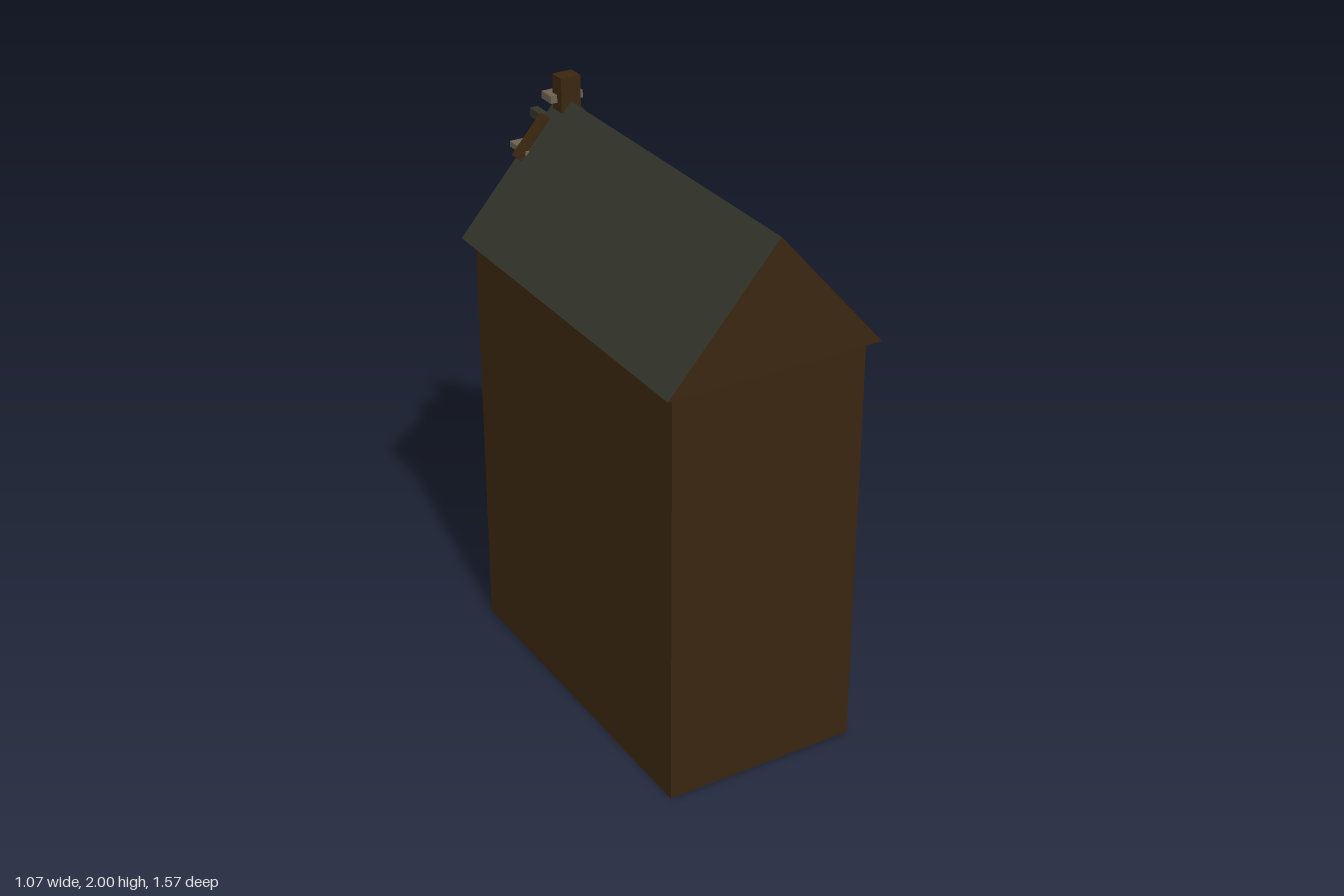
import * as THREE from 'three';

const mat = (name, color) => {
  const m = new THREE.MeshStandardMaterial({ color, flatShading: true });
  m.name = name;
  return m;
};

export function createModel() {
  const brick = mat('brown brick', 0x3a2610);
  const slate = mat('green slate', 0x32342a);
  const stone = mat('tan stone', 0x6b6150);
  const iron = mat('dark iron', 0x15110c);

  const root = new THREE.Group();
  root.name = 'house';
  const house = new THREE.Group();
  house.name = 'turnedHouse';
  house.position.set(0, 0, 0.043);
  house.rotation.y = THREE.MathUtils.degToRad(14.5);
  root.add(house);

  // Box given by its centre x, its y range and its z range
  const box = (name, material, x, w, y0, y1, z0, z1, parent = house) => {
    const mesh = new THREE.Mesh(new THREE.BoxGeometry(w, y1 - y0, z1 - z0), material);
    mesh.name = name;
    mesh.position.set(x, (y0 + y1) / 2, (z0 + z1) / 2);
    parent.add(mesh);
    return mesh;
  };

  const WALL = -0.631;   // street facade plane
  const GABLE = -0.665;  // gable plane above the eaves
  const EAVE = 1.48, RIDGE = 1.915, HALF = 0.38;

  box('walls', brick, 0, 0.69, 0, EAVE, WALL, 0.631);

  // Roof prism: brick gable ends, slate slopes
  const tri = new THREE.Shape();
  tri.moveTo(-HALF, EAVE);
  tri.lineTo(HALF, EAVE);
  tri.lineTo(0, RIDGE);
  tri.closePath();
  const roofGeo = new THREE.ExtrudeGeometry(tri, { depth: 1.33, bevelEnabled: false });
  roofGeo.translate(0, 0, GABLE);
  const roof = new THREE.Mesh(roofGeo, [brick, slate]);
  roof.name = 'roof';
  house.add(roof);

  // Sloping copings beside the gable peak
  const pitch = Math.atan2(RIDGE - EAVE, HALF);
  for (const s of [-1, 1]) {
    const coping = new THREE.Mesh(new THREE.BoxGeometry(0.17, 0.03, 0.04), brick);
    coping.name = 'gableCoping';
    coping.position.set(s * 0.115, RIDGE - 0.115 * Math.tan(pitch) + 0.006, GABLE + 0.017);
    coping.rotation.z = -s * pitch;
    house.add(coping);
  }

  // Finial block and hoisting beam
  box('finialBase', stone, 0, 0.12, 1.908, 1.934, -0.676, -0.612);
  box('finialBlock', brick, 0, 0.072, 1.88, 2.0, -0.643, -0.583);
  box('hoistBeam', slate, 0, 0.03, 1.777, 1.808, -0.85, -0.62);

  // Pair of hinged shutters between a stone lintel and sill
  const shutters = (name, y0, y1, face, back) => {
    const g = new THREE.Group();
    g.name = name;
    house.add(g);
    const h = y1 - y0;
    for (const s of [-1, 1]) {
      box('shutterLeaf', slate, s * 0.071, 0.134, y0 + 0.01, y1 - 0.01, face, back, g);
      for (const f of [0.28, 0.72]) {
        const y = y0 + f * h;
        box('hinge', iron, s * 0.09, 0.025, y - 0.004, y + 0.004, face - 0.003, face + 0.003, g);
      }
    }
    box('lintel', stone, 0, 0.305, y1 - 0.02, y1, face - 0.022, back, g);
    box('sill', stone, 0, 0.305, y0, y0 + 0.02, face - 0.022, back, g);
  };

  // Narrow window with stone blocks along both sides
  const sideWindow = (x, y0, y1) => {
    const g = new THREE.Group();
    g.name = 'sideWindow';
    house.add(g);
    box('panel', slate, x, 0.095, y0 + 0.01, y1 - 0.01, -0.66, WALL + 0.01, g);
    box('lintel', stone, x, 0.13, y1 - 0.02, y1, -0.678, WALL + 0.01, g);
    box('sill', stone, x, 0.13, y0, y0 + 0.02, -0.678, WALL + 0.01, g);
    for (const s of [-1, 1]) {
      for (const f of [0.2, 0.5, 0.8]) {
        const y = y0 + f * (y1 - y0);
        box('jambBlock', stone, x + s * 0.053, 0.022, y - 0.02, y + 0.02, -0.674, WALL + 0.01, g);
      }
    }
  };

  // Two storeys of windows
  for (const [y0, y1] of [[0.51, 0.79], [0.93, 1.205]]) {
    shutters('storeyShutters', y0, y1, -0.656, WALL + 0.01);
    for (const x of [-0.25, 0.25]) sideWindow(x, y0, y1);
  }

  // Loft hatch
  shutters('loftHatch', 1.395, 1.755, -0.714, WALL + 0.01);

  // Street door
  box('streetDoor', slate, 0, 0.405, 0, 0.47, -0.65, WALL + 0.01);
  box('doorLintel', stone, 0, 0.425, 0.468, 0.49, -0.674, WALL + 0.01);

  return root;
}
